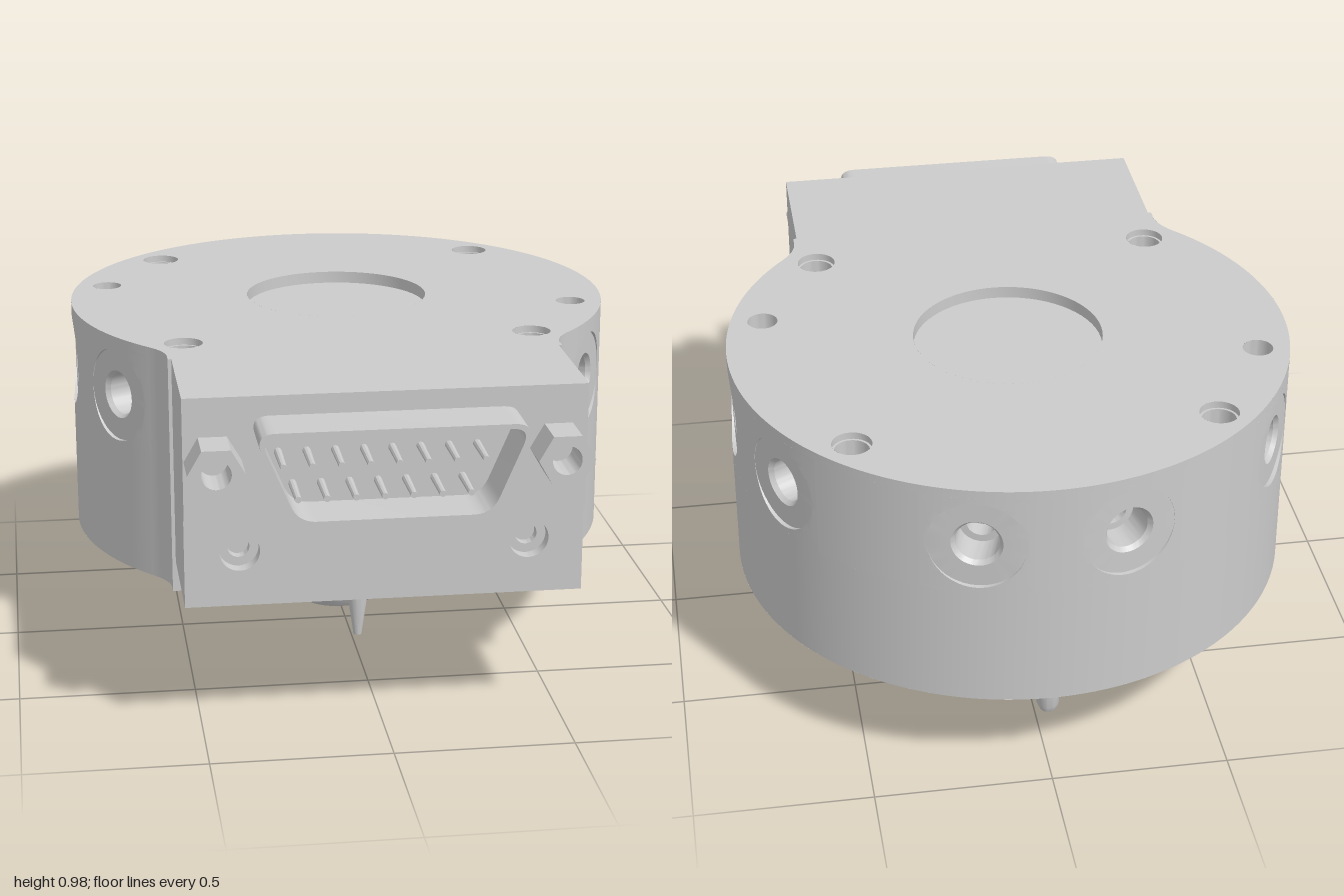
import * as THREE from 'three';
import { toCreasedNormals } from 'three/addons/utils/BufferGeometryUtils.js';

const solid = new THREE.MeshStandardMaterial({ color: 0xcccccc });
const open = new THREE.MeshStandardMaterial({ color: 0xcccccc, side: THREE.DoubleSide });
const rad = THREE.MathUtils.degToRad;
const R = 0.8, CZ = -0.2;              // round housing radius and centre
const BOTTOM = 0.29, TOP = 0.975;      // housing heights
const A0 = rad(-41.5), A1 = rad(221.5); // span of the round wall, 90 degrees = back
const HALF = rad(11), Y0 = 0.65, Y1 = 0.95, HY = 0.8; // cell around each side port

export function createModel() {
  const model = new THREE.Group();

  const add = (name, geo, mat = solid, x = 0, y = 0, z = 0) => {
    const mesh = new THREE.Mesh(toCreasedNormals(geo, 0.5), mat);
    mesh.name = name;
    mesh.position.set(x, y, z);
    model.add(mesh);
    return mesh;
  };
  const box = (name, x0, x1, y0, y1, z0, z1) =>
    add(name, new THREE.BoxGeometry(x1 - x0, y1 - y0, z1 - z0), solid, (x0 + x1) / 2, (y0 + y1) / 2, (z0 + z1) / 2);
  const lathe = (name, pts, x, z, seg = 32) =>
    add(name, new THREE.LatheGeometry(pts.map(p => new THREE.Vector2(...p)), seg), open, x, 0, z);
  // sheet whose vertices are placed by f(column, row)
  const sheet = (name, nu, nv, f) => {
    const geo = new THREE.PlaneGeometry(1, 1, nu, nv);
    const pos = geo.attributes.position;
    for (let k = 0; k < pos.count; k++) {
      const p = f(k % (nu + 1), nv - Math.floor(k / (nu + 1)));
      pos.setXYZ(k, p[0], p[1], p[2]);
    }
    return add(name, geo, open);
  };
  const circle = (x, y, r) => new THREE.Path().absarc(x, y, r, 0, Math.PI * 2);
  const extrude = (shape, depth, seg = 24) =>
    new THREE.ExtrudeGeometry(shape, { depth, bevelEnabled: false, curveSegments: seg });

  // ---- housing: plan outline drawn with y = -z
  const ax = R * Math.cos(A0), az = CZ - R * Math.sin(A0);
  const outline = () => {
    const s = new THREE.Shape();
    s.absarc(0, -CZ, R, A0, A1, false);
    s.quadraticCurveTo(-0.555, -0.38, -0.555, -0.43);
    s.lineTo(-0.555, -0.46);
    s.lineTo(0.555, -0.46);
    s.lineTo(0.555, -0.43);
    s.quadraticCurveTo(0.555, -0.38, ax, -az);
    return s;
  };
  const bolts = [[0.5, -0.7], [-0.5, -0.7], [0.5, 0.3], [-0.5, 0.3]];
  const dowels = [[-0.685, -0.385], [0.685, -0.02]];
  const face = (name, y, holes) => {
    const s = outline();
    for (const [x, z, r] of holes) s.holes.push(circle(x, -z, r));
    add(name, new THREE.ShapeGeometry(s, 96).rotateX(-Math.PI / 2), open, 0, y, 0);
  };
  const boltHoles = bolts.map(b => [...b, 0.055]);
  face('housingTop', TOP, [...boltHoles, ...dowels.map(d => [...d, 0.043]), [0, CZ, 0.27]]);
  face('housingUnderside', BOTTOM, [...boltHoles, [0, CZ, 0.62]]);

  // neck walls with the concave fillets
  const fillet = new THREE.QuadraticBezierCurve(
    new THREE.Vector2(ax, az), new THREE.Vector2(0.555, 0.38), new THREE.Vector2(0.555, 0.43)).getPoints(8);
  const side = [...fillet, new THREE.Vector2(0.555, 0.46)];
  const neck = [...side.map(p => [-p.x, p.y]), ...side.reverse().map(p => [p.x, p.y])];
  sheet('neckWall', neck.length - 1, 1, (i, j) => [neck[i][0], j ? TOP : BOTTOM, neck[i][1]]);

  // round wall: full bands above and below, plain pieces between the ports
  const band = (a0, a1, y0, y1) => {
    const n = Math.max(1, Math.ceil((a1 - a0) / rad(2)));
    sheet('roundWall', n, 1, (i, j) => {
      const a = a0 + (a1 - a0) * i / n;
      return [R * Math.cos(a), j ? y1 : y0, CZ - R * Math.sin(a)];
    });
  };
  band(A0, A1, BOTTOM, Y0);
  band(A0, A1, Y1, TOP);
  const ports = [-30, 0, 30, 75, 105, 150, 180, 210].map(rad);
  let from = A0;
  for (const a of ports) {
    band(from, a - HALF, Y0, Y1);
    from = a + HALF;
  }
  band(from, A1, Y0, Y1);

  // side ports: square cell -> spot face -> chamfer -> stepped bore
  const bore = [[0.134, 0.788], [0.07, 0.788], [0.06, 0.775], [0.06, 0.69], [0.04, 0.69], [0.04, 0.64], [0, 0.64]];
  for (const a of ports) {
    const c = Math.cos(a), s = Math.sin(a), N = 48;
    sheet('sidePort', N, 3 + bore.length, (i, j) => {
      const f = i / N * Math.PI * 2, cf = Math.cos(f), sf = Math.sin(f);
      let u, v, d;
      if (j <= 3) {
        const q = 1 / Math.max(Math.abs(cf), Math.abs(sf)), t = j / 3;
        u = cf * (q * R * Math.sin(HALF) * (1 - t) + 0.134 * t);
        v = sf * (q * (Y1 - HY) * (1 - t) + 0.134 * t);
        d = Math.sqrt(R * R - u * u);
      } else {
        const [r, depth] = bore[j - 4];
        u = cf * r; v = sf * r; d = depth;
      }
      return [c * d - s * u, HY + v, CZ - s * d - c * u];
    });
  }

  // bolt holes, dowel holes and the shallow top recess
  for (const [x, z] of bolts)
    lathe('boltHole', [[0.055, TOP], [0.055, 0.955], [0.048, 0.955], [0.048, 0.31], [0.055, 0.31], [0.055, BOTTOM]], x, z);
  for (const [x, z] of dowels) lathe('dowelHole', [[0.043, TOP], [0.043, 0.87], [0, 0.87]], x, z);
  lathe('topRecess', [[0.27, TOP], [0.27, 0.94], [0, 0.94]], 0, CZ, 64);

  // hollow underside with central collar and tapered nose
  lathe('cavityAndHub', [[0.62, BOTTOM], [0.62, 0.6], [0.386, 0.6], [0.386, 0.38], [0.313, 0.38], [0.313, 0.16],
    [0.285, 0.16], [0.285, 0.33], [0.165, 0.33], [0.165, 0.155], [0.142, 0.04], [0.137, 0.025], [0.115, 0], [0, 0]], 0, CZ, 72);

  // guide pins and the short stub pin
  for (const z of [0.28, -0.68])
    lathe('guidePin', [[0, 0.055], [0.012, 0.057], [0.031, 0.19], [0.031, 0.6]], 0, z, 24);
  lathe('stubPin', [[0, 0.182], [0.022, 0.185], [0.031, 0.205], [0.031, BOTTOM]], 0, -0.91, 24);

  // ---- connector block
  const W = 0.545, LOW = 0.38, MID = 0.63;
  box('upperBlock', -W, W, MID, TOP, 0.46, 0.84);
  const rect = (x0, x1, y0, y1) => new THREE.Shape(
    [[x0, y0], [x1, y0], [x1, y1], [x0, y1]].map(p => new THREE.Vector2(...p)));
  const slab = rect(-W, W, -0.75, -0.46);
  const slot = new THREE.Path();
  slot.absarc(0.28, -0.675, 0.05, -Math.PI / 2, Math.PI / 2, false);
  slot.absarc(-0.28, -0.675, 0.05, Math.PI / 2, Math.PI * 1.5, false);
  slab.holes.push(slot);
  add('lowerBlock', extrude(slab, MID - LOW).rotateX(-Math.PI / 2), solid, 0, LOW, 0);
  for (let i = 0; i < 8; i++)
    add('slotPin', new THREE.CylinderGeometry(0.012, 0.012, 0.2, 8), solid, -0.266 + i * 0.076, 0.53, 0.675);
  // front plates with counterbored screw holes
  for (const [z, depth, r] of [[0.75, 0.03, 0.03], [0.78, 0.04, 0.055]]) {
    const plate = rect(-W, W, LOW, MID);
    for (const x of [-0.395, 0.395]) plate.holes.push(circle(x, 0.535, r));
    add('frontPlate', extrude(plate, depth), solid, 0, 0, z);
  }

  // D-shaped connector shell: trapezoid with rounded corners
  const trapezoid = (inset, radius) => {
    const pts = [[-0.27 + inset, 0.662 + inset], [0.27 - inset, 0.662 + inset],
      [0.372 - inset * 1.2, 0.92 - inset], [-0.372 + inset * 1.2, 0.92 - inset]].map(p => new THREE.Vector2(...p));
    const s = new THREE.Shape();
    pts.forEach((p, i) => {
      const toward = q => p.clone().add(q.clone().sub(p).setLength(radius));
      const a = toward(pts[(i + 3) % 4]), b = toward(pts[(i + 1) % 4]);
      if (i) s.lineTo(a.x, a.y); else s.moveTo(a.x, a.y);
      s.quadraticCurveTo(p.x, p.y, b.x, b.y);
    });
    s.closePath();
    return s;
  };
  const shell = trapezoid(0, 0.06);
  shell.holes.push(trapezoid(0.013, 0.05));
  add('connectorShell', extrude(shell, 0.16, 10), solid, 0, 0, 0.84);

  // contact pins in two rows
  for (const [count, x0, y] of [[8, -0.292, 0.82], [7, -0.254, 0.73]])
    for (let i = 0; i < count; i++)
      add('contactPin', new THREE.CylinderGeometry(0.009, 0.011, 0.14, 10).rotateX(Math.PI / 2), solid, x0 + i * 0.0765, y, 0.91);

  // hexagonal standoffs
  for (const x of [-0.465, 0.465]) {
    const hex = new THREE.Shape(Array.from({ length: 6 }, (_, i) =>
      new THREE.Vector2(0.077 * Math.cos(i * Math.PI / 3), 0.077 * Math.sin(i * Math.PI / 3))));
    hex.holes.push(circle(0, 0, 0.04));
    add('hexStandoff', extrude(hex, 0.12), solid, x, 0.8, 0.84);
  }
  return model;
}
